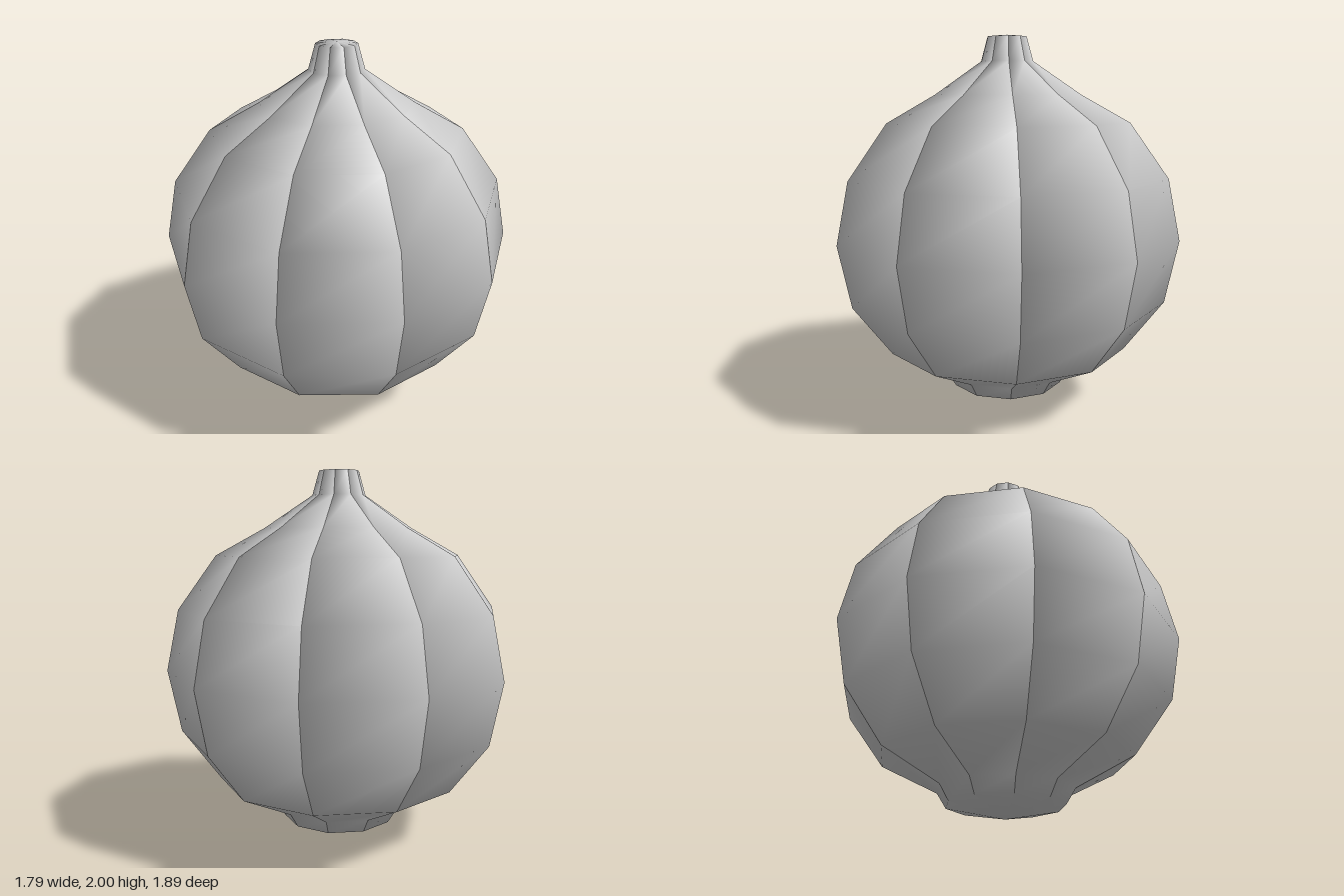
import * as THREE from 'three';

const CLOVES = 10;

// Ridge profile from the root to the stem tip: [radius, height]
const PROFILE = [
  [0, 0], [0.31, 0.065], [0.36, 0.145], [0.667, 0.3], [0.875, 0.58], [0.943, 0.92],
  [0.875, 1.25], [0.667, 1.54], [0.405, 1.685], [0.145, 1.86], [0.108, 1.99], [0, 2],
];

// One wedge: a four-cornered section (two outer ridges, two inner corners) swept up the profile
function cloveGeometry() {
  const half = Math.PI / CLOVES;
  const corners = [[-half, 1], [half, 1], [half, 0.4], [-half, 0.4]];
  const positions = [];
  const index = [];
  PROFILE.forEach(([r, y], i) => {
    for (const [angle, scale] of corners) {
      positions.push(Math.sin(angle) * r * scale, y, Math.cos(angle) * r * scale);
    }
    if (i === 0) return;
    for (let j = 0; j < 4; j++) {
      const a = (i - 1) * 4 + j;
      const b = (i - 1) * 4 + ((j + 1) % 4);
      index.push(a, b, b + 4, a, b + 4, a + 4);
    }
  });
  const geometry = new THREE.BufferGeometry();
  geometry.setAttribute('position', new THREE.Float32BufferAttribute(positions, 3));
  geometry.setIndex(index);
  // Sides share corners with the outer skin, so each wedge is shaded as a rounded bulge
  geometry.computeVertexNormals();
  return geometry;
}

export function createModel() {
  const bulb = new THREE.Group();
  bulb.name = 'bulb';
  const material = new THREE.MeshStandardMaterial({ color: 0xcccccc });
  const geometry = cloveGeometry();

  // Ring of cloves, with a ridge facing straight to the front
  for (let i = 0; i < CLOVES; i++) {
    const clove = new THREE.Mesh(geometry, material);
    clove.name = `clove${i + 1}`;
    clove.rotation.y = ((i + 0.5) * 2 * Math.PI) / CLOVES;
    bulb.add(clove);
  }
  return bulb;
}
